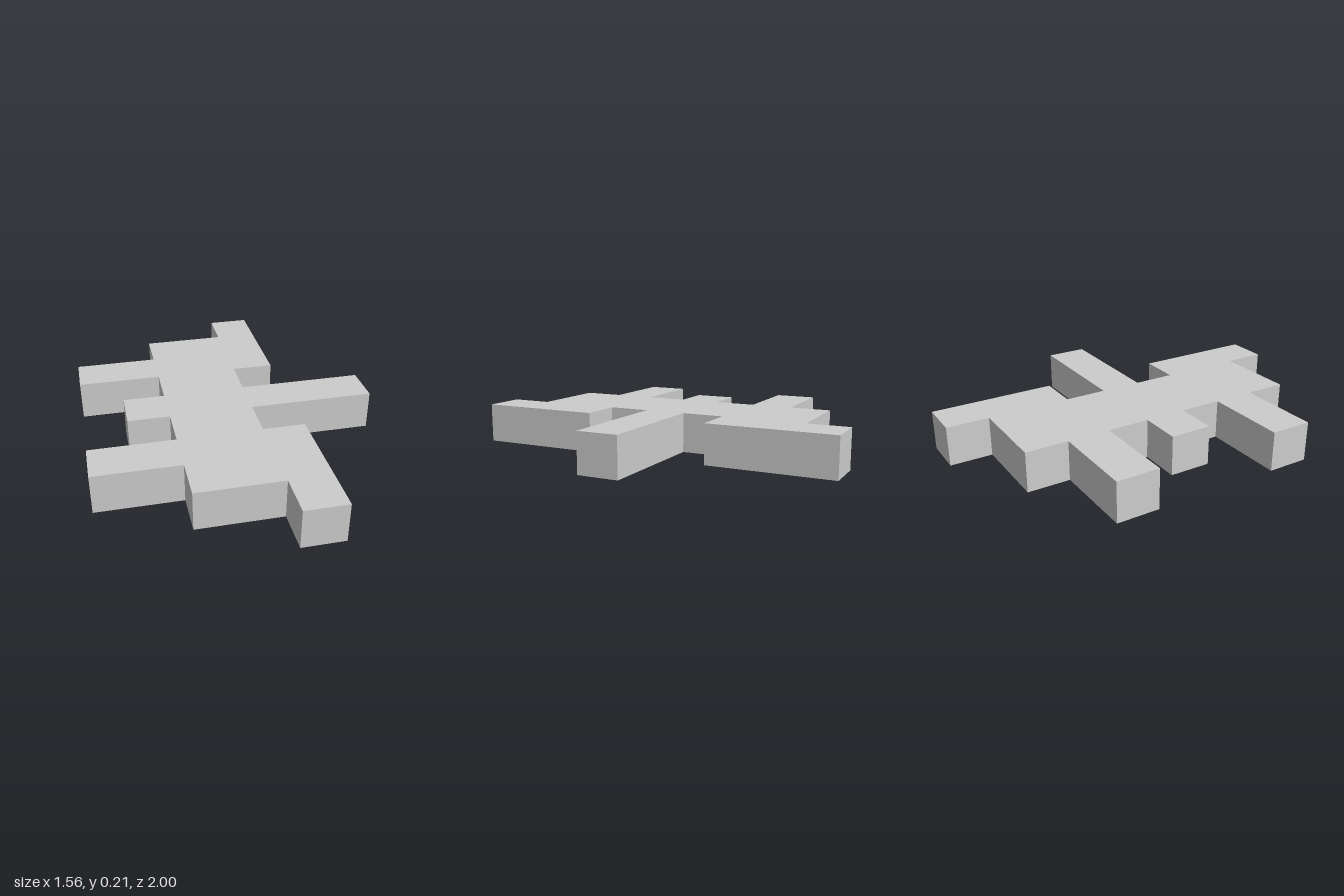
import * as THREE from 'three';

const HEIGHT = 0.21;

// Half of the stepped outline as [x, z], from the right side's short arm round to the left arm
const HALF_OUTLINE = [
  [-0.555, 0.11], [-0.333, 0.11],                                    // short right arm
  [-0.333, 0.333], [-0.778, 0.333], [-0.778, 0.555], [-0.333, 0.555], // long right arm
  [-0.333, 0.777], [0.11, 0.777],                                    // end of the body
  [0.11, 1], [0.333, 1], [0.333, 0.333], [0.11, 0.333],              // end leg
  [0.11, 0.11], [0.777, 0.11],                                       // long left arm
];

export function createModel() {
  const group = new THREE.Group();
  group.name = 'steppedPlate';

  // Mirror the half outline front to back to close the shape
  const mirrored = HALF_OUTLINE.map(([x, z]) => [x, -z]).reverse();
  const points = [...HALF_OUTLINE, ...mirrored].map(([x, z]) => new THREE.Vector2(x, -z));

  // Extrude upwards, standing on y = 0
  const geometry = new THREE.ExtrudeGeometry(new THREE.Shape(points), {
    depth: HEIGHT,
    bevelEnabled: false,
  });
  geometry.rotateX(-Math.PI / 2);

  const material = new THREE.MeshStandardMaterial({ color: 0xcccccc, flatShading: true });
  const body = new THREE.Mesh(geometry, material);
  body.name = 'body';
  group.add(body);
  return group;
}
